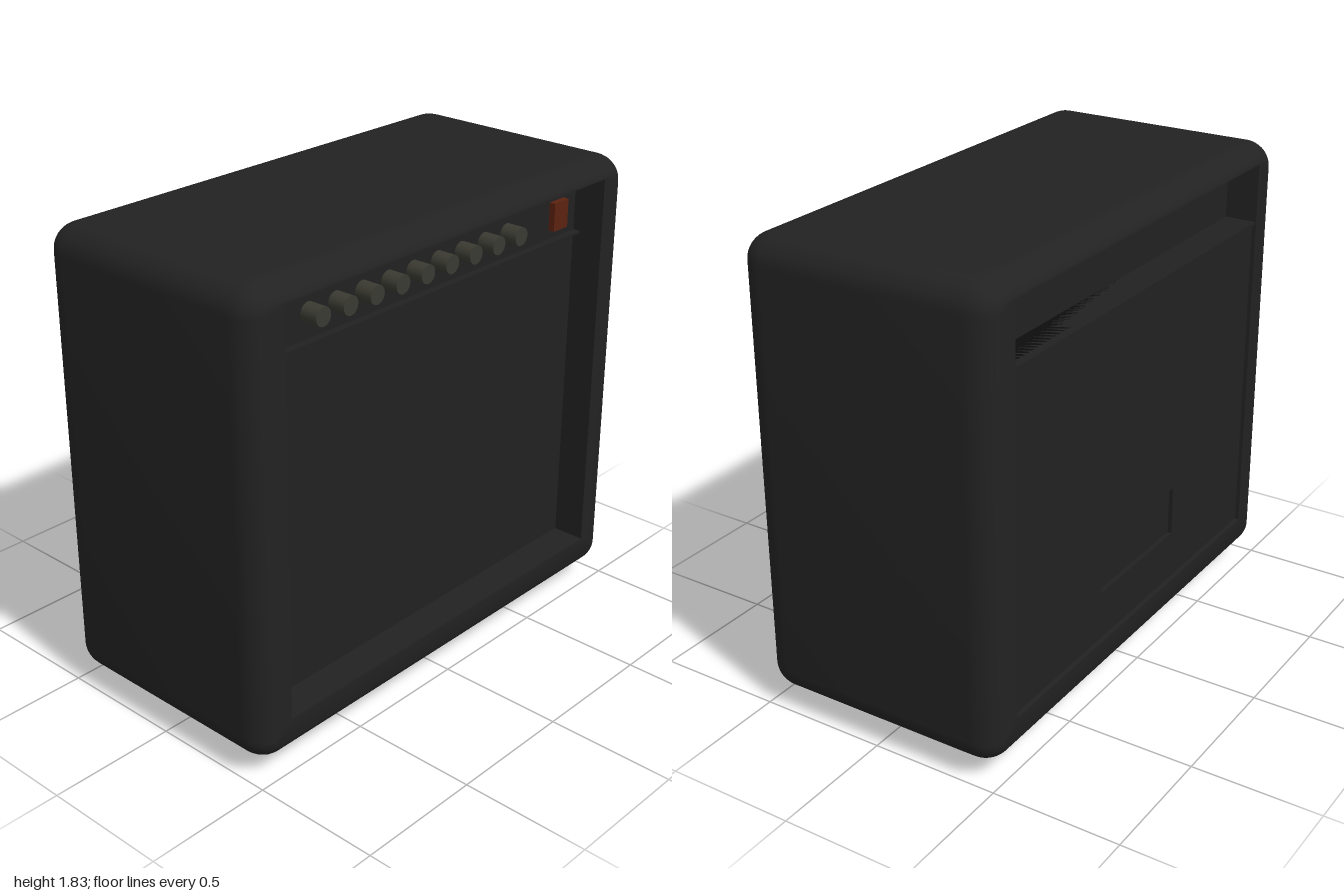
import * as THREE from 'three';
import { toCreasedNormals } from 'three/addons/utils/BufferGeometryUtils.js';

const mat = (name, color, side = THREE.FrontSide) => {
  const m = new THREE.MeshStandardMaterial({ color, side });
  m.name = name;
  return m;
};

// Cabinet and opening sizes
const W = 1, BOTTOM = 0.07, TOP = 1.83, D = 0.5, R = 0.1;
const OPEN_X = 0.85, OPEN_LOW = 0.22, OPEN_HIGH = 1.76, SPLIT = 1.53;
const RECESS = 0.13, CORNER = 8;

// Rounded rectangle loop, counterclockwise seen from the front
function loop(x, low, high, r, z) {
  const pts = [];
  const corners = [[x - r, low + r, -1], [x - r, high - r, 0], [-x + r, high - r, 1], [-x + r, low + r, 2]];
  for (const [cx, cy, q] of corners) {
    for (let i = 0; i <= CORNER; i++) {
      const a = (q + i / CORNER) * Math.PI / 2;
      pts.push([cx + r * Math.cos(a), cy + r * Math.sin(a), z]);
    }
  }
  return pts;
}

// Skin running from the front recess over the rounded shell into the back recess
function cabinetGeometry() {
  const half = [];
  const maxInset = 0.065, end = Math.acos(1 - maxInset / R);
  half.push(loop(OPEN_X, OPEN_LOW, OPEN_HIGH, 0, D - RECESS));
  half.push(loop(OPEN_X, OPEN_LOW, OPEN_HIGH, 0, D));
  for (let i = CORNER; i >= 0; i--) {
    const a = end * i / CORNER, inset = R * (1 - Math.cos(a));
    half.push(loop(W - inset, BOTTOM + inset, TOP - inset, R - inset, D - R + R * Math.sin(a) / Math.sin(end)));
  }
  const back = half.map(l => l.map(([x, y, z]) => [x, y, -z])).reverse();
  const loops = [...half, ...back];
  const n = loops[0].length, index = [];
  for (let j = 0; j < loops.length - 1; j++) {
    for (let i = 0; i < n; i++) {
      const a = j * n + i, b = j * n + (i + 1) % n;
      index.push(a, a + n, b, b, a + n, b + n);
    }
  }
  const g = new THREE.BufferGeometry();
  g.setAttribute('position', new THREE.Float32BufferAttribute(loops.flat(2), 3));
  g.setIndex(index);
  return toCreasedNormals(g, 0.5);
}

export function createModel() {
  const model = new THREE.Group();
  model.name = 'guitarAmplifier';
  const covering = mat('black covering', 0x222222, THREE.DoubleSide);
  const panel = mat('black panel', 0x212121);
  const gap = mat('dark gap', 0x0d0d0d);
  const knobMat = mat('grey knob', 0x3a3a32);
  const red = mat('red switch', 0x5c220f);
  const rubber = mat('rubber', 0x262626);

  const add = (name, geometry, material, x = 0, y = 0, z = 0) => {
    const m = new THREE.Mesh(geometry, material);
    m.name = name;
    m.position.set(x, y, z);
    model.add(m);
    return m;
  };
  // Box given by its limits
  const box = (name, material, x0, x1, y0, y1, z0, z1) =>
    add(name, new THREE.BoxGeometry(x1 - x0, y1 - y0, z1 - z0), material,
      (x0 + x1) / 2, (y0 + y1) / 2, (z0 + z1) / 2);

  add('cabinet', cabinetGeometry(), covering);

  // Front: control panel, divider and speaker grille
  const face = D - RECESS;
  box('controlPanel', panel, -OPEN_X, OPEN_X, SPLIT, OPEN_HIGH, 0, face);
  box('grilleGap', gap, -OPEN_X, OPEN_X, OPEN_LOW, SPLIT, 0, face - 0.01);
  box('speakerGrille', panel, -OPEN_X + 0.008, OPEN_X - 0.008, OPEN_LOW + 0.008, SPLIT - 0.012, 0.3, face + 0.005);
  box('frontDivider', panel, -OPEN_X, OPEN_X, SPLIT - 0.006, SPLIT + 0.004, 0.3, face + 0.03);

  // Row of knobs and the power switch
  const knob = new THREE.CylinderGeometry(0.035, 0.035, 0.07, 20).rotateX(Math.PI / 2);
  for (let i = 0; i < 9; i++) add('knob', knob, knobMat, -0.613 + i * 0.13, 1.63, face + 0.035);
  box('powerSwitch', red, 0.688, 0.772, 1.57, 1.68, face - 0.01, face + 0.025);

  // Back: upper slot, then a nearly flush panel with a shallow window
  box('backSlotWall', panel, -OPEN_X, OPEN_X, SPLIT, OPEN_HIGH, -face, 0);
  box('backPanelGap', gap, -OPEN_X, OPEN_X, OPEN_LOW, SPLIT, -D + 0.035, 0);
  box('backDivider', panel, -OPEN_X, OPEN_X, SPLIT - 0.012, SPLIT, -D + 0.003, -0.3);
  const rect = (s, x, y0, y1) => s.moveTo(-x, y0).lineTo(x, y0).lineTo(x, y1).lineTo(-x, y1).closePath();
  const shape = rect(new THREE.Shape(), OPEN_X - 0.006, OPEN_LOW + 0.006, SPLIT - 0.016);
  shape.holes.push(rect(new THREE.Path(), 0.27, 0.42, 0.62));
  add('backPanel', new THREE.ExtrudeGeometry(shape, { depth: 0.03, bevelEnabled: false }), panel, 0, 0, -D + 0.013);
  box('connectorPlate', panel, -0.265, 0.265, 0.425, 0.615, -D + 0.027, -0.4);

  // Feet
  const foot = new THREE.CylinderGeometry(0.04, 0.04, 0.09, 20);
  for (const x of [-0.725, 0.725]) {
    for (const z of [-0.325, 0.325]) add('foot', foot, rubber, x, 0.045, z);
  }
  return model;
}
